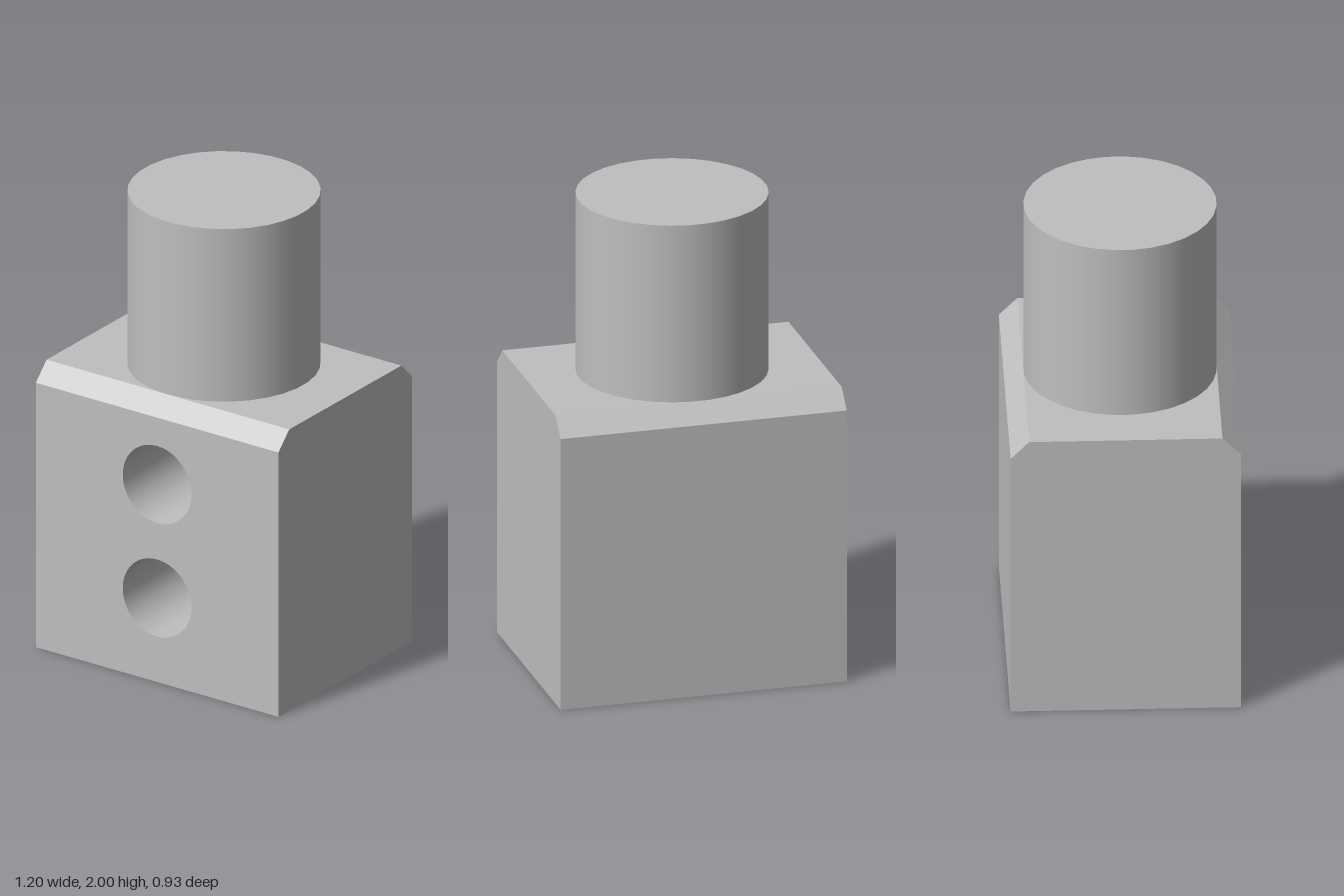
import * as THREE from 'three';

const W = 1.2, Z = 0.465, TOP = 1.24, SHOULDER = 1.165, TOP_Z = 0.39;
const HOLE_R = 0.17, HOLE_DEPTH = 0.6, HOLE_Y = [0.37, 0.87];

// Flat strip swept along x over a profile of [z, y] points
function sweepX(profile) {
  const pos = [], h = W / 2;
  for (let i = 0; i < profile.length - 1; i++) {
    const [z0, y0] = profile[i], [z1, y1] = profile[i + 1];
    pos.push(-h, y0, z0, h, y0, z0, h, y1, z1, -h, y0, z0, h, y1, z1, -h, y1, z1);
  }
  const g = new THREE.BufferGeometry();
  g.setAttribute('position', new THREE.Float32BufferAttribute(pos, 3));
  g.computeVertexNormals();
  return g;
}

export function createModel() {
  const model = new THREE.Group();
  model.name = 'drilledBlockWithPost';
  const grey = new THREE.MeshStandardMaterial({ color: 0xbfbfbf });
  grey.name = 'plain grey';

  const add = (name, geometry, x = 0, y = 0, z = 0) => {
    const mesh = new THREE.Mesh(geometry, grey);
    mesh.name = name;
    mesh.position.set(x, y, z);
    model.add(mesh);
    return mesh;
  };

  // Chamfers, top, back and underside of the block
  add('blockShell', sweepX([
    [Z, SHOULDER], [TOP_Z, TOP], [-TOP_Z, TOP], [-Z, SHOULDER], [-Z, 0], [Z, 0],
  ]));

  // Chamfered end faces
  const end = new THREE.Shape([
    [-Z, 0], [Z, 0], [Z, SHOULDER], [TOP_Z, TOP], [-TOP_Z, TOP], [-Z, SHOULDER],
  ].map(([x, y]) => new THREE.Vector2(x, y)));
  for (const side of [-1, 1]) {
    add(side > 0 ? 'leftEnd' : 'rightEnd', new THREE.ShapeGeometry(end), side * W / 2)
      .rotation.y = side * Math.PI / 2;
  }

  // Front face pierced by two holes
  const front = new THREE.Shape([
    [-W / 2, 0], [W / 2, 0], [W / 2, SHOULDER], [-W / 2, SHOULDER],
  ].map(([x, y]) => new THREE.Vector2(x, y)));
  for (const y of HOLE_Y) {
    front.holes.push(new THREE.Path().absarc(0, y, HOLE_R, 0, Math.PI * 2, true));
  }
  add('frontFace', new THREE.ShapeGeometry(front, 24), 0, 0, Z);

  // Blind holes: inward-facing bore and flat floor
  for (const y of HOLE_Y) {
    const bore = new THREE.LatheGeometry(
      [new THREE.Vector2(HOLE_R, 0), new THREE.Vector2(HOLE_R, -HOLE_DEPTH)], 48);
    add('holeBore', bore.rotateX(Math.PI / 2), 0, y, Z);
    add('holeFloor', new THREE.CircleGeometry(HOLE_R, 48), 0, y, Z - HOLE_DEPTH);
  }

  // Round post standing on the block
  const post = new THREE.CylinderGeometry(0.39, 0.39, 2 - TOP, 32);
  add('post', post.rotateY(Math.PI / 32), 0, (2 + TOP) / 2);

  return model;
}
